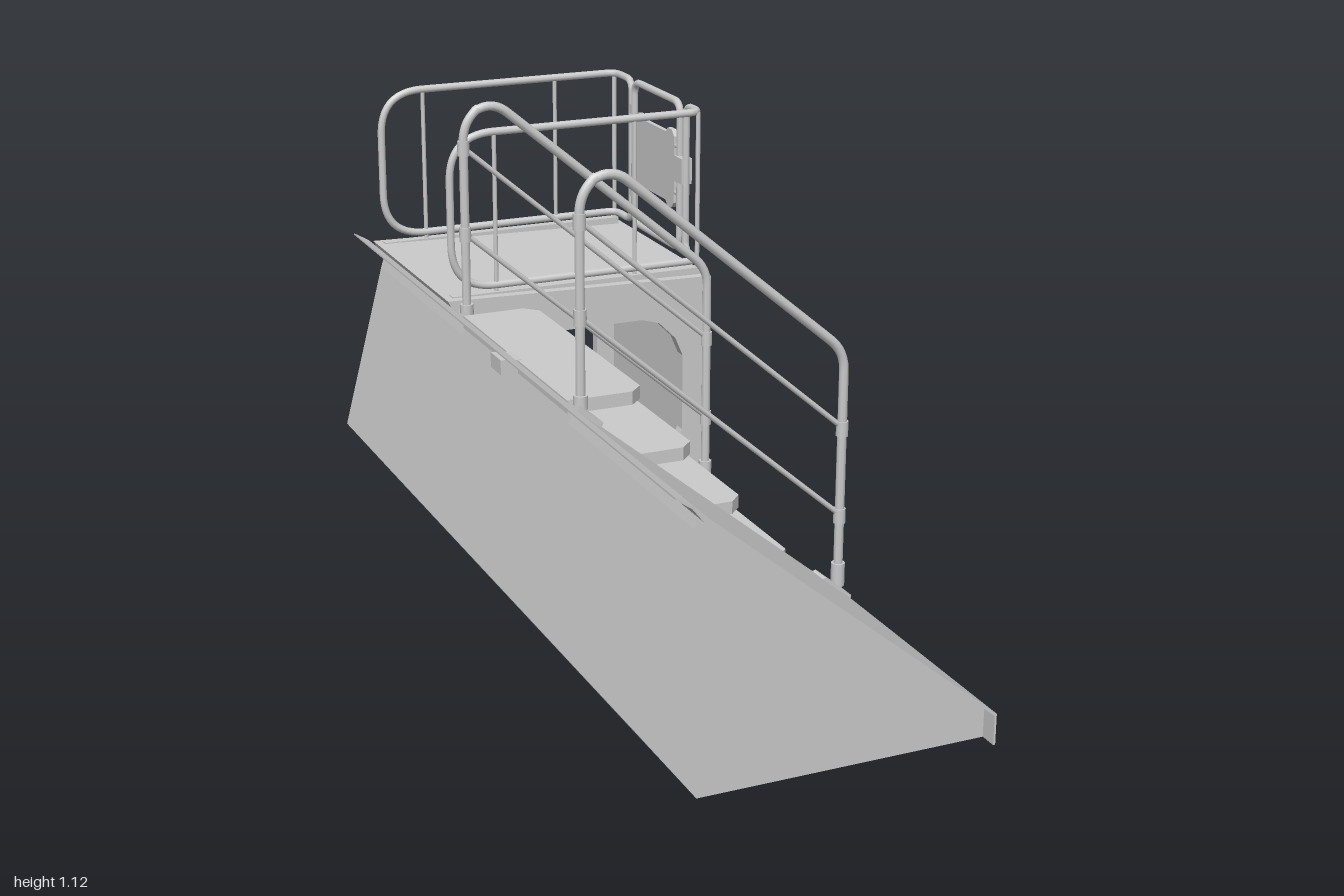
import * as THREE from 'three';

const V = (x, y, z) => new THREE.Vector3(x, y, z);
const P = (x, y) => new THREE.Vector2(x, y);

export function createModel() {
  const model = new THREE.Group();
  const mat = new THREE.MeshStandardMaterial({ color: 0xcccccc, side: THREE.DoubleSide });

  const add = (name, geo, x = 0, y = 0, z = 0) => {
    const mesh = new THREE.Mesh(geo, mat);
    mesh.name = name;
    mesh.position.set(x, y, z);
    model.add(mesh);
    return mesh;
  };
  const box = (name, x0, x1, y0, y1, z0, z1) =>
    add(name, new THREE.BoxGeometry(x1 - x0, y1 - y0, z1 - z0), (x0 + x1) / 2, (y0 + y1) / 2, (z0 + z1) / 2);
  // Side profile (x, y) extruded from z0 to z1
  const prism = (name, points, z0, z1, hole) => {
    const shape = new THREE.Shape(points);
    if (hole) shape.holes.push(new THREE.Path(hole));
    return add(name, new THREE.ExtrudeGeometry(shape, { depth: z1 - z0, bevelEnabled: false }), 0, 0, z0);
  };
  const bar = (name, a, b, r) => {
    add(name, new THREE.TubeGeometry(new THREE.LineCurve3(a, b), 1, r, 8));
  };
  // Bent tube through corners given as [point, bend radius]
  const bentTube = (name, corners, r, closed = false) => {
    const path = new THREE.CurvePath();
    const n = corners.length;
    let last = null, first = null;
    corners.forEach(([p, rad], i) => {
      if (!closed && (i === 0 || i === n - 1)) {
        if (last) path.add(new THREE.LineCurve3(last, p));
        last = p;
        return;
      }
      const toward = (q) => p.clone().add(q.clone().sub(p).setLength(rad));
      const a = toward(corners[(i + n - 1) % n][0]), b = toward(corners[(i + 1) % n][0]);
      if (last) path.add(new THREE.LineCurve3(last, a));
      else first = a;
      path.add(new THREE.QuadraticBezierCurve3(a, p, b));
      last = b;
    });
    if (closed) path.add(new THREE.LineCurve3(last, first));
    path.arcLengthDivisions = 400;
    add(name, new THREE.TubeGeometry(path, 150, r, 8, closed));
  };

  // Blade-shaped body: solid on both sides, with a hollowed bay for the stairs
  const back = [P(-0.28, 0.57), P(-0.388, 0.155), P(-0.27, 0)];
  const solid = [...back, P(0.38, 0), P(0.38, 0.07), P(-0.27, 0.602)];
  prism('bodyLeft', solid, 0.33, 0.96);
  prism('bodyRight', solid, -0.96, -0.33);
  const hollow = new THREE.SplineCurve([
    P(0.385, 0.015), P(0.2, 0.03), P(0.05, 0.07), P(-0.1, 0.16),
    P(-0.2, 0.28), P(-0.262, 0.4), P(-0.283, 0.5), P(-0.272, 0.602),
  ]).getPoints(28);
  prism('stairBay', [...back, P(0.385, 0), ...hollow], -0.33, 0.33);

  // Thin sloped cover plates overhanging the ends
  const cover = [P(0.38, 0), P(0.385, 0), P(0.385, 0.07), P(-0.275, 0.61), P(-0.28, 0.604), P(0.38, 0.066)];
  prism('coverLeft', cover, 0.33, 1);
  prism('coverRight', cover, -1, -0.33);
  // Flared lip along the top edge
  prism('topLip', [P(-0.272, 0.609), P(-0.3, 0.635), P(-0.338, 0.657), P(-0.338, 0.653),
    P(-0.303, 0.629), P(-0.28, 0.6)], -1, 1);

  // Treads with clipped front corners, each on a central bracket
  const treads = [[0.38, 0.045, 0.1], [0.26, 0.18, -0.12], [0.14, 0.33, -0.23], [0.02, 0.475, -0.29], [-0.1, 0.62, -0.28]];
  treads.forEach(([x, y, root], i) => {
    const w = 0.325, c = 0.03, rear = Math.max(x - 0.19, -0.28);
    const shape = new THREE.Shape([P(rear, -w), P(x - c, -w), P(x, -w + c), P(x, w - c), P(x - c, w), P(rear, w)]);
    const geo = new THREE.ExtrudeGeometry(shape, { depth: 0.03, bevelEnabled: false });
    geo.rotateX(Math.PI / 2);
    add('tread', geo, 0, y, 0);
    if (i > 0) prism('treadBracket', [P(x - 0.03, y - 0.03), P(root, y - 0.03), P(root, y - 0.08),
      P(x - 0.12, y - 0.065)], -0.032, 0.032);
  });
  prism('lipHook', [P(-0.27, 0.62), P(-0.32, 0.625), P(-0.32, 0.59), P(-0.275, 0.555)], -0.032, 0.032);

  // Platform: pierced side walls, front wall and deck
  const wall = [P(0.385, 0.07), P(0.385, 0.625), P(-0.29, 0.625), P(-0.27, 0.6)];
  const opening = [P(-0.1, 0.482), P(-0.096, 0.51), P(-0.085, 0.527), P(-0.062, 0.535), P(0.2, 0.535), P(0.245, 0.522),
    P(0.29, 0.477), P(0.31, 0.43), P(0.31, 0.235), P(0.298, 0.205), P(0.275, 0.184), P(0.257, 0.184)];
  prism('platformWallFront', wall, -0.405, -0.375, opening);
  prism('platformWallBack', wall, -0.957, -0.927, opening);
  box('platformEndWall', 0.36, 0.385, 0.07, 0.625, -0.957, -0.375);
  prism('platformDeck', [P(0.385, 0.61), P(0.385, 0.627), P(-0.3, 0.643), P(-0.285, 0.615)], -0.957, -0.375);
  for (const z of [-0.41, -0.93]) box('toeStrip', -0.28, 0.37, 0.625, 0.645, z - 0.012, z + 0.012);

  // Stair handrails
  for (const z of [0.355, -0.35]) {
    bentTube('stairHandrail', [
      [V(0.363, 0.11, z), 0], [V(0.363, 0.655, z), 0.045],
      [V(-0.195, 1.125, z), 0.055], [V(-0.262, 1.08, z), 0.05], [V(-0.262, 0.61, z), 0],
    ], 0.011);
    for (const [top, low] of [[1.01, 0.48], [0.805, 0.272]]) {
      bar('stairMidRail', V(-0.255, top, z), V(0.36, low, z), 0.006);
      add('railCollar', new THREE.CylinderGeometry(0.014, 0.014, 0.035, 10), -0.262, top + 0.005, z);
      add('railCollar', new THREE.CylinderGeometry(0.014, 0.014, 0.035, 10), 0.363, low - 0.005, z);
    }
    add('railSocket', new THREE.CylinderGeometry(0.016, 0.016, 0.055, 10), 0.363, 0.125, z);
    add('railSocket', new THREE.CylinderGeometry(0.016, 0.016, 0.03, 10), -0.262, 0.625, z);
    // Foot strip lying on the slope
    prism('railFootStrip', [P(0.385, 0.07), P(0.385, 0.079), P(0.32, 0.132), P(0.31, 0.13)], z - 0.025, z + 0.025);
    prism('railFootStrip', [P(-0.225, 0.57), P(-0.22, 0.58), P(-0.275, 0.625), P(-0.28, 0.61)], z - 0.025, z + 0.025);
  }

  // Platform guard loops wrapping round the gate corners
  const lo = 0.66, hi = 1.033, xr = 0.368, xl = -0.277;
  for (const [z, zEnd] of [[-0.41, -0.49], [-0.93, -0.825]]) {
    bentTube('platformGuard', [
      [V(xl, lo, z), 0.11], [V(xr, lo, z), 0.03], [V(xr, lo, zEnd), 0.03],
      [V(xr, hi, zEnd), 0.03], [V(xr, hi, z), 0.03], [V(xl, hi, z), 0.11],
    ], 0.0095, true);
    for (const x of [-0.165, 0.195]) bar('guardUpright', V(x, 0.63, z), V(x, hi, z), 0.0055);
    bar('guardCornerPost', V(xr - 0.005, 0.62, z), V(xr - 0.005, hi, z), 0.006);
  }

  // Gate with infill panel, hinges and latch
  bentTube('gateFrame', [
    [V(xr, 0.66, -0.525), 0.035], [V(xr, 0.66, -0.807), 0.035],
    [V(xr, hi, -0.807), 0.035], [V(xr, hi, -0.525), 0.035],
  ], 0.0095, true);
  const a = 0.12, b = 0.1;
  const panel = new THREE.Shape([P(-a, -b + 0.015), P(-a + 0.015, -b), P(-0.08, -b), P(-0.07, -b + 0.012),
    P(0.07, -b + 0.012), P(0.08, -b), P(a - 0.015, -b), P(a, -b + 0.015), P(a, b - 0.015), P(a - 0.015, b),
    P(0.08, b), P(0.07, b - 0.012), P(-0.07, b - 0.012), P(-0.08, b), P(-a + 0.015, b), P(-a, b - 0.015)]);
  const panelGeo = new THREE.ExtrudeGeometry(panel, { depth: 0.012, bevelEnabled: false });
  panelGeo.rotateY(Math.PI / 2);
  add('gatePanel', panelGeo, 0.362, 0.858, -0.668);
  for (const y of [0.8, 0.92]) {
    bar('panelMount', V(xr, y, -0.525), V(xr, y, -0.56), 0.006);
    bar('panelMount', V(xr, y, -0.775), V(xr, y, -0.807), 0.006);
  }
  box('gateLatch', 0.354, 0.382, 0.835, 0.9, -0.53, -0.485);
  for (const y of [0.74, 0.96]) box('gateHinge', 0.36, 0.376, y - 0.012, y + 0.012, -0.827, -0.805);

  return model;
}
